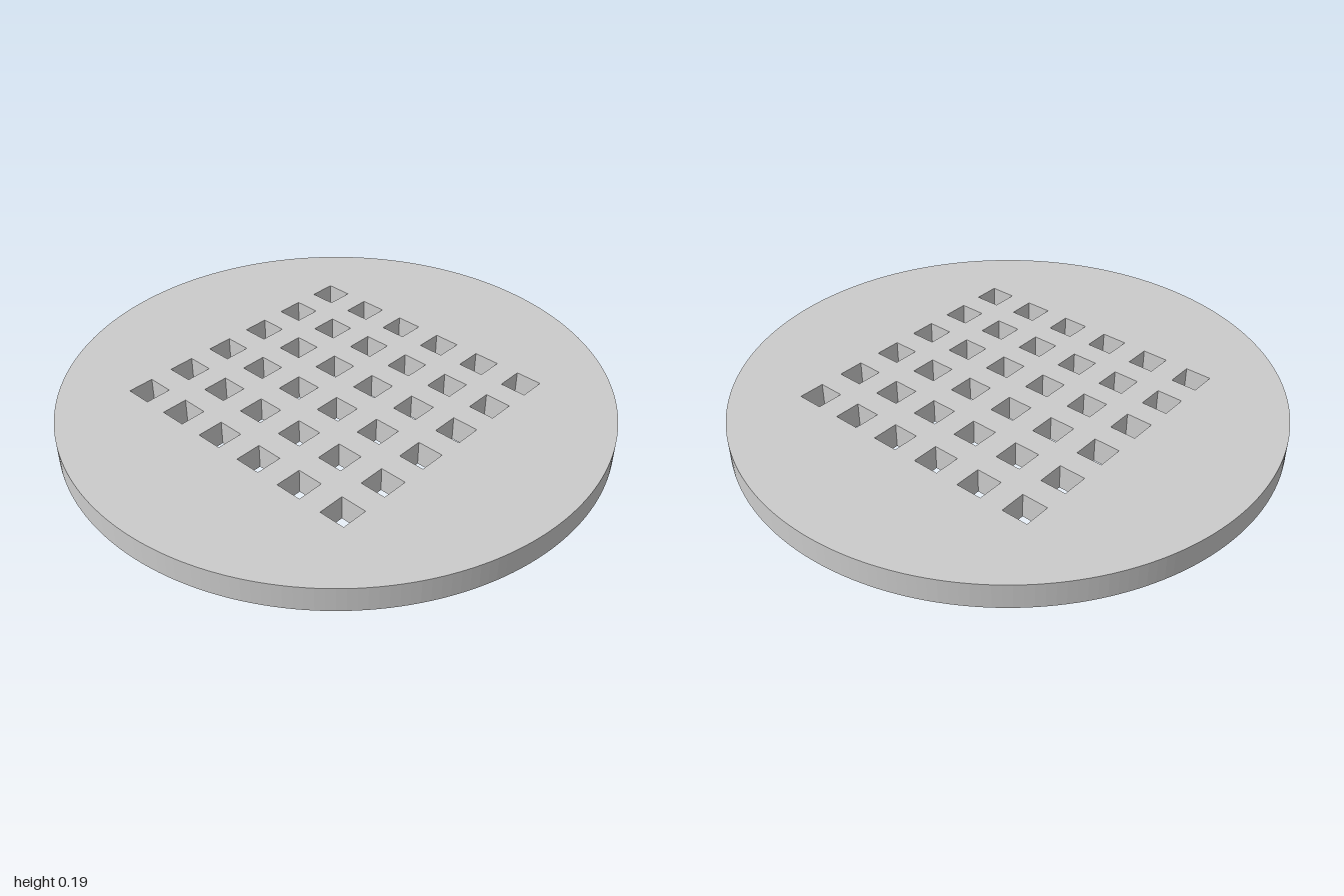
import * as THREE from 'three';

const SEGMENTS = 100;
const RIM_HEIGHT = 0.1;
const PLATE_HEIGHT = 0.092;

function circle(radius, Type = THREE.Shape) {
  const path = new Type();
  path.absarc(0, 0, radius, 0, Math.PI * 2, false);
  return path;
}

function squareHole(x, y, size) {
  const h = size / 2;
  return new THREE.Path([[-h, -h], [-h, h], [h, h], [h, -h], [-h, -h]]
    .map(([dx, dy]) => new THREE.Vector2(x + dx, y + dy)));
}

// Extrudes a flat outline upwards, starting at the given height
function slab(name, shape, bottom, height, material) {
  const geometry = new THREE.ExtrudeGeometry(shape, {
    depth: height, bevelEnabled: false, curveSegments: SEGMENTS,
  });
  geometry.rotateX(-Math.PI / 2);
  geometry.translate(0, bottom, 0);
  const mesh = new THREE.Mesh(geometry, material);
  mesh.name = name;
  return mesh;
}

export function createModel() {
  const group = new THREE.Group();
  group.name = 'drainCover';
  const material = new THREE.MeshStandardMaterial({ color: 0xcccccc });

  // Round plate with a 6 x 6 grid of square holes
  const plate = circle(1);
  const count = 6, pitch = 0.1905, size = 0.1;
  for (let i = 0; i < count; i++) {
    for (let j = 0; j < count; j++) {
      const x = (i - (count - 1) / 2) * pitch;
      const z = (j - (count - 1) / 2) * pitch;
      plate.holes.push(squareHole(x, z, size));
    }
  }
  group.add(slab('perforatedPlate', plate, RIM_HEIGHT, PLATE_HEIGHT, material));

  // Narrow ring under the plate
  const rim = circle(0.895);
  rim.holes.push(circle(0.817, THREE.Path));
  group.add(slab('lowerRim', rim, 0, RIM_HEIGHT, material));

  return group;
}
